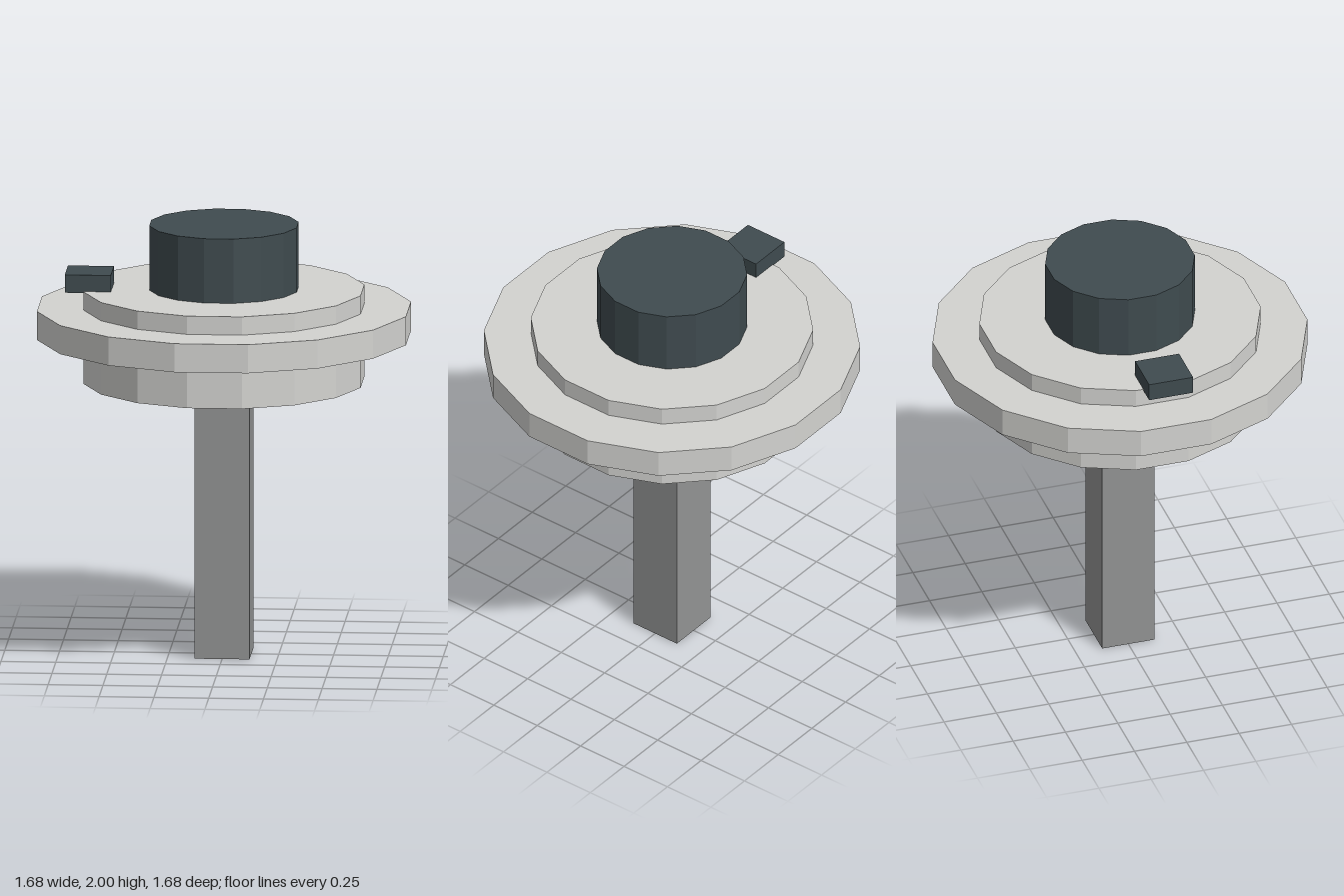
import * as THREE from 'three';

const SIDES = 16;

export function createModel() {
  const mat = (name, color, side = THREE.FrontSide) =>
    Object.assign(new THREE.MeshStandardMaterial({ color, flatShading: true, side }), { name });
  const paleGrey = mat('paleGrey', 0xd3d3d0, THREE.DoubleSide);
  const midGrey = mat('midGrey', 0x929393);
  const darkSlate = mat('darkSlate', 0x3f4b4f, THREE.DoubleSide);

  const model = new THREE.Group();
  model.name = 'postWithKnob';

  const box = (name, [w, h, d], [x, y, z], material) => {
    const mesh = new THREE.Mesh(new THREE.BoxGeometry(w, h, d), material);
    mesh.name = name;
    mesh.position.set(x, y, z);
    model.add(mesh);
  };

  // Drum with a closed top and an open underside, one flat side facing the front
  const drum = (name, apothem, bottom, top, material) => {
    const radius = apothem / Math.cos(Math.PI / SIDES);
    const group = new THREE.Group();
    group.name = name;
    const wall = new THREE.Mesh(
      new THREE.CylinderGeometry(radius, radius, top - bottom, SIDES, 1, true), material);
    wall.name = name + 'Wall';
    wall.position.y = (top + bottom) / 2;
    const lid = new THREE.Mesh(new THREE.CircleGeometry(radius, SIDES).rotateX(-Math.PI / 2), material);
    lid.name = name + 'Top';
    lid.position.y = top;
    group.add(wall, lid);
    group.rotation.y = Math.PI / SIDES;
    model.add(group);
  };

  // Square post
  box('post', [0.25, 1.27, 0.25], [0, 0.635, 0], midGrey);

  // Stacked round head
  drum('body', 0.632, 1.27, 1.698, paleGrey);
  drum('flange', 0.842, 1.48, 1.613, paleGrey);
  drum('knob', 0.336, 1.69, 1.997, darkSlate);

  // Small block at the side of the knob
  box('sideBlock', [0.21, 0.083, 0.21], [-0.613, 1.733, 0.015], darkSlate);

  return model;
}
